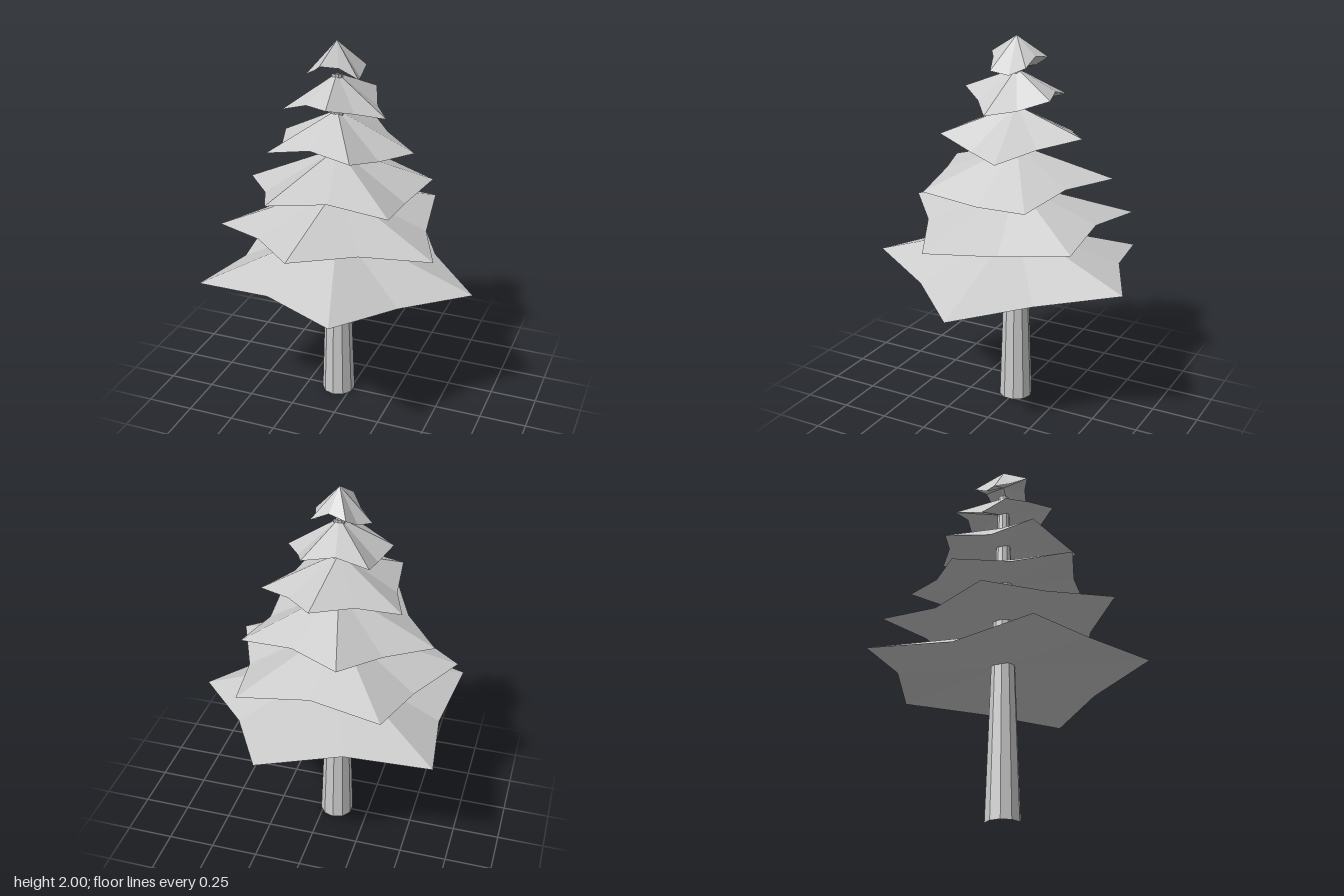
import * as THREE from 'three';

const CENTRE_X = -0.0725;

// One star-shaped bough layer: five tips, five notches, rim sagging to the sides
function boughLayer(radius, apexY, rimY, turn, material) {
  const apex = [0, apexY, 0], hub = [0, rimY - 0.005, 0];
  const rim = [];
  for (let i = 0; i < 10; i++) {
    const a = turn + (i * Math.PI) / 5;
    const r = i % 2 ? radius * 0.74 : radius;
    rim.push([Math.cos(a) * r, rimY - 0.093 * Math.cos(a) ** 2, Math.sin(a) * r]);
  }
  const points = [];
  rim.forEach((p, i) => {
    const q = rim[(i + 1) % rim.length];
    points.push(...apex, ...q, ...p); // upper slope
    points.push(...hub, ...p, ...q); // underside
  });
  const geometry = new THREE.BufferGeometry();
  geometry.setAttribute('position', new THREE.Float32BufferAttribute(points, 3));
  geometry.computeVertexNormals();
  return new THREE.Mesh(geometry, material);
}

export function createModel() {
  const model = new THREE.Group();
  model.name = 'tree';
  const grey = new THREE.MeshStandardMaterial({ color: 0xcccccc });
  grey.name = 'light grey';

  // Tapered ten-sided trunk, open at the ends
  const trunkGeometry = new THREE.CylinderGeometry(0.028, 0.09, 1.835, 10, 1, true).toNonIndexed();
  trunkGeometry.computeVertexNormals();
  const trunk = new THREE.Mesh(trunkGeometry, grey);
  trunk.name = 'trunk';
  trunk.position.set(CENTRE_X, 0.9175, 0);
  model.add(trunk);

  // Bough layers from bottom to top: apex height, rim height
  const layers = [
    [1.005, 0.823], [1.23, 1.075], [1.44, 1.294],
    [1.645, 1.522], [1.835, 1.73], [2.0, 1.908],
  ];
  layers.forEach(([apexY, rimY], i) => {
    const turn = THREE.MathUtils.degToRad(20 * i);
    const layer = boughLayer(0.745 - 0.117 * i, apexY, rimY, turn, grey);
    layer.name = `boughLayer${i + 1}`;
    layer.position.x = CENTRE_X;
    model.add(layer);
  });

  return model;
}
